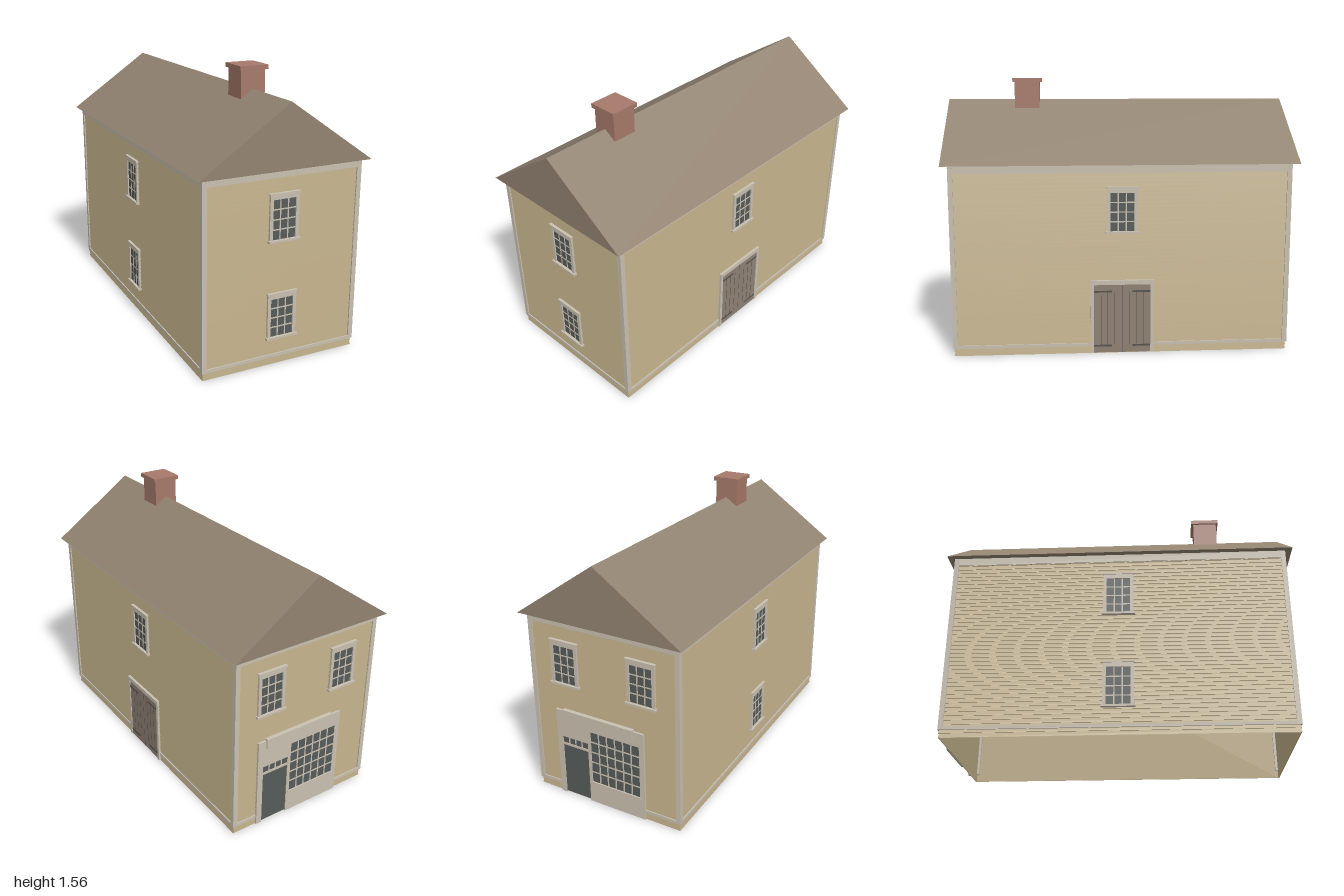
import * as THREE from 'three';

const mat = (name, color, side = THREE.FrontSide) => {
  const m = new THREE.MeshStandardMaterial({ color, side });
  m.name = name;
  return m;
};

export function createModel() {
  const siding = mat('tan siding', 0xbaa984, THREE.DoubleSide);
  const trim = mat('pale trim', 0xc9c0b0);
  const roofing = mat('brown roof', 0x928371);
  const wood = mat('door wood', 0x8f8174);
  const glass = mat('dark glass', 0x565b59);
  const iron = mat('dark iron', 0x55534f);
  const brick = mat('red brick', 0xa67a6a);

  const W = 0.462, D = 0.957, EAVE = 1.09; // wall half width, half depth, height
  const house = new THREE.Group();
  house.name = 'house';

  // box from its limits
  function box(parent, name, material, x0, x1, y0, y1, z0, z1) {
    const m = new THREE.Mesh(new THREE.BoxGeometry(x1 - x0, y1 - y0, z1 - z0), material);
    m.position.set((x0 + x1) / 2, (y0 + y1) / 2, (z0 + z1) / 2);
    m.name = name;
    parent.add(m);
  }

  // open tube of stacked rectangles, each [y, inset]
  function rectShell(name, rings) {
    const pos = [], index = [];
    rings.forEach(([y, inset], r) => {
      const w = W - inset, d = D - inset;
      pos.push(-w, y, d, w, y, d, w, y, -d, -w, y, -d);
      if (r === 0) return;
      for (let k = 0; k < 4; k++) {
        const a = (r - 1) * 4 + k, b = (r - 1) * 4 + (k + 1) % 4;
        index.push(a, b, b + 4, a, b + 4, a + 4);
      }
    });
    let g = new THREE.BufferGeometry();
    g.setAttribute('position', new THREE.Float32BufferAttribute(pos, 3));
    g.setIndex(index);
    g = g.toNonIndexed();
    g.computeVertexNormals();
    const m = new THREE.Mesh(g, siding);
    m.name = name;
    house.add(m);
  }

  // overlapping clapboards and plain inner wall, open underneath
  const boards = [], count = 45;
  for (let i = 0; i < count; i++) {
    boards.push([EAVE * i / count, 0], [EAVE * (i + 1) / count, 0.005]);
  }
  rectShell('clapboards', boards);
  rectShell('innerWall', [[0, 0.007], [EAVE, 0.007]]);

  // corner boards, base band and frieze
  for (const s of [-1, 1]) {
    for (const t of [-1, 1]) {
      const x = s * 0.4535, z = t * 0.9485;
      box(house, 'cornerBoard', trim, x - 0.0135, x + 0.0135, 0.042, EAVE, z - 0.0135, z + 0.0135);
    }
    for (const [y0, y1] of [[0.042, 0.06], [1.045, EAVE]]) {
      box(house, 'endBand', trim, -0.44, 0.44, y0, y1, s * 0.956 - 0.005, s * 0.956 + 0.005);
      box(house, 'sideBand', trim, s * 0.461 - 0.005, s * 0.461 + 0.005, y0, y1, -0.935, 0.935);
    }
  }

  // roof prism
  const gable = new THREE.Shape([
    new THREE.Vector2(-0.5, EAVE), new THREE.Vector2(0.5, EAVE), new THREE.Vector2(0, 1.437),
  ]);
  const roof = new THREE.Mesh(
    new THREE.ExtrudeGeometry(gable, { depth: 2, bevelEnabled: false }).translate(0, 0, -1), roofing);
  roof.name = 'roof';
  house.add(roof);

  // chimney
  box(house, 'chimney', brick, -0.072, 0.072, 1.36, 1.54, 0.463, 0.608);
  box(house, 'chimneyCap', brick, -0.084, 0.084, 1.538, 1.562, 0.45, 0.62);

  // group whose local z = 0 lies on the face of a wall
  function onWall(name, angle) {
    const g = new THREE.Group();
    const dist = Math.abs(Math.sin(angle)) > 0.5 ? W : D;
    g.name = name;
    g.rotation.y = angle;
    g.position.set(Math.sin(angle) * dist, 0, Math.cos(angle) * dist);
    house.add(g);
    return g;
  }

  // glass sheet with a grid of thin bars
  function glazing(parent, x0, x1, y0, y1, cols, rows, z, bar) {
    box(parent, 'glass', glass, x0, x1, y0, y1, z - 0.006, z);
    for (let i = 1; i < cols; i++) {
      const x = x0 + (x1 - x0) * i / cols;
      box(parent, 'glazingBar', trim, x - bar, x + bar, y0, y1, z - 0.002, z + 0.002);
    }
    for (let j = 1; j < rows; j++) {
      const y = y0 + (y1 - y0) * j / rows;
      box(parent, 'glazingBar', trim, x0, x1, y - bar, y + bar, z - 0.002, z + 0.002);
    }
  }

  // sash window with casing, cap and sill
  function sashWindow(angle, x, y) {
    const g = new THREE.Group();
    g.name = 'window';
    g.position.set(x, y, 0);
    onWall('windowWall', angle).add(g);
    glazing(g, -0.068, 0.068, 0.012, 0.23, 3, 4, 0.003, 0.0035);
    for (const s of [-1, 1]) {
      box(g, 'casing', trim, s * 0.0765 - 0.0095, s * 0.0765 + 0.0095, 0.008, 0.26, -0.006, 0.01);
    }
    box(g, 'head', trim, -0.068, 0.068, 0.23, 0.26, -0.006, 0.01);
    box(g, 'cap', trim, -0.09, 0.09, 0.256, 0.264, -0.006, 0.014);
    box(g, 'sill', trim, -0.093, 0.093, 0, 0.012, -0.006, 0.019);
  }
  const LEFT = Math.PI / 2, RIGHT = -Math.PI / 2, BACK = Math.PI;
  for (const y of [0.153, 0.702]) {
    sashWindow(0, 0, y);
    sashWindow(RIGHT, 0, y);
  }
  sashWindow(LEFT, 0, 0.702);
  sashWindow(BACK, -0.24, 0.702);
  sashWindow(BACK, 0.24, 0.702);

  // double plank door with strap hinges
  const barn = onWall('plankDoor', LEFT);
  box(barn, 'doorLeaves', wood, -0.162, 0.162, 0.004, 0.405, -0.006, 0.006);
  box(barn, 'doorHead', trim, -0.18, 0.18, 0.405, 0.43, -0.006, 0.012);
  box(barn, 'doorSeam', iron, -0.001, 0.001, 0.004, 0.405, 0.004, 0.0065);
  for (const s of [-1, 1]) {
    box(barn, 'doorJamb', trim, s * 0.171 - 0.009, s * 0.171 + 0.009, 0.004, 0.405, -0.006, 0.011);
    for (const x of [0.043, 0.083, 0.121]) {
      box(barn, 'plankGroove', iron, s * x - 0.0012, s * x + 0.0012, 0.05, 0.36, 0.004, 0.0067);
    }
    for (const y of [0.045, 0.365]) {
      box(barn, 'strapHinge', iron, s * 0.111 - 0.051, s * 0.111 + 0.051, y - 0.005, y + 0.005, 0.004, 0.009);
    }
  }

  // shop front: door with transom, large window over a panel, and cornice
  const shop = onWall('shopFront', BACK);
  box(shop, 'leftPilaster', trim, -0.315, -0.28, 0, 0.46, -0.006, 0.01);
  box(shop, 'shopDoor', glass, -0.28, -0.112, 0.008, 0.322, -0.006, 0.006);
  box(shop, 'transomRail', trim, -0.28, -0.112, 0.322, 0.336, -0.006, 0.01);
  glazing(shop, -0.28, -0.112, 0.336, 0.375, 4, 1, 0.006, 0.004);
  box(shop, 'overDoorPanel', trim, -0.28, -0.112, 0.375, 0.46, -0.006, 0.01);
  box(shop, 'middlePost', trim, -0.112, -0.092, 0, 0.46, -0.006, 0.01);
  box(shop, 'windowPanel', trim, -0.092, 0.22, 0, 0.125, -0.006, 0.01);
  box(shop, 'shopSill', trim, -0.1, 0.228, 0.125, 0.135, -0.006, 0.014);
  glazing(shop, -0.092, 0.22, 0.135, 0.455, 6, 5, 0.006, 0.004);
  box(shop, 'rightPilaster', trim, 0.22, 0.25, 0, 0.46, -0.006, 0.01);
  box(shop, 'lintel', trim, -0.315, 0.25, 0.455, 0.54, -0.006, 0.011);
  box(shop, 'cornice', trim, -0.265, 0.185, 0.495, 0.55, -0.006, 0.02);

  return house;
}
